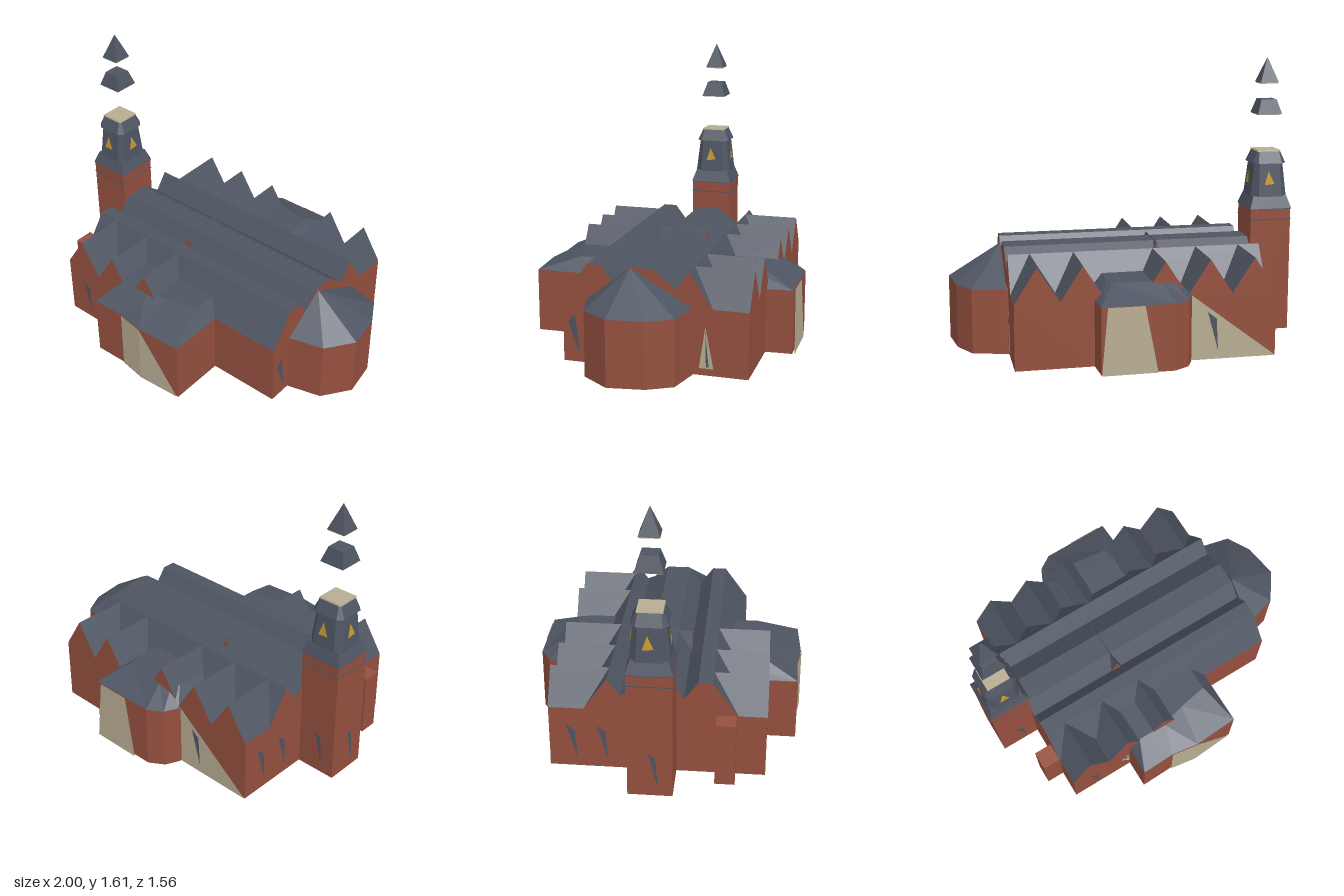
import * as THREE from 'three';

const mat = (name, color) => {
  const m = new THREE.MeshStandardMaterial({ color, flatShading: true, side: THREE.DoubleSide });
  m.name = name;
  return m;
};

export function createModel() {
  const brick = mat('brick', 0x95503f), slate = mat('slate', 0x4e5562);
  const stone = mat('stone', 0xb8ad93), gold = mat('gold', 0xc79a2e);
  const model = new THREE.Group();
  model.name = 'church';
  const church = new THREE.Group();
  church.name = 'churchBody';
  church.rotation.y = 0.07; // the plan is turned slightly off the axes
  model.add(church);

  const add = (name, geo, material, parent = church) => {
    const m = new THREE.Mesh(geo, material);
    m.name = name;
    parent.add(m);
    return m;
  };
  const shape = (pts) => new THREE.Shape(pts.map(([x, y]) => new THREE.Vector2(x, y)));
  const extrude = (pts, depth) => new THREE.ExtrudeGeometry(shape(pts), { depth, bevelEnabled: false });
  const fromTriangles = (pts) => {
    const g = new THREE.BufferGeometry();
    g.setAttribute('position', new THREE.Float32BufferAttribute(pts.flat(), 3));
    g.computeVertexNormals();
    return g;
  };
  // Flat convex panel through 3D points
  const panel = (name, pts, material, parent) => {
    const t = [];
    for (let i = 1; i < pts.length - 1; i++) t.push(pts[0], pts[i], pts[i + 1]);
    return add(name, fromTriangles(t), material, parent);
  };
  // Skin between two plan rings [x, z], with the top closed
  const loft = (name, low, y0, high, y1, material, parent) => {
    const t = [], n = low.length;
    const a = low.map(([x, z]) => [x, y0, z]), b = high.map(([x, z]) => [x, y1, z]);
    for (let i = 0; i < n; i++) {
      const j = (i + 1) % n;
      t.push(a[i], b[i], b[j], a[i], b[j], a[j]);
      if (i > 0 && i < n - 1) t.push(b[0], b[j], b[i]);
    }
    return add(name, fromTriangles(t), material, parent);
  };

  // Brick walls from one footprint, including transepts and apse
  const apse = [[0.703, -0.312], [0.891, -0.268], [0.967, -0.133], [0.998, 0.07], [0.886, 0.227], [0.692, 0.279]];
  const backPorch = [[-0.267, -0.63], [-0.231, -0.708], [-0.147, -0.762], [0.254, -0.764], [0.263, -0.613]];
  const frontPorch = [[0.27, 0.42], [0.27, 0.745], [0, 0.76], [-0.16, 0.735], [-0.36, 0.74]];
  const plan = [[-0.75, -0.613], [-0.267, -0.613], ...backPorch, [0.693, -0.613], [0.693, -0.312],
    ...apse, [0.692, 0.42], ...frontPorch, [-0.36, 0.573], [-0.75, 0.573]];
  const walls = extrude(plan.map(([x, z]) => [x, -z]), 0.368);
  walls.rotateX(-Math.PI / 2);
  add('walls', walls, brick);

  // Three long parallel roofs with brick gable ends
  const profile = [[-0.42, 0.367], [-0.29, 0.56], [-0.215, 0.46], [-0.09, 0.56], [0.05, 0.56],
    [0.125, 0.46], [0.2, 0.56], [0.28, 0.56], [0.42, 0.367]];
  const nave = extrude(profile.map(([z, y]) => [-z, y]), 1.442);
  nave.rotateY(Math.PI / 2);
  nave.translate(-0.75, 0, 0);
  add('naveRoofs', nave, [brick, slate]);

  // Cross gables along both long sides
  const gable = (name, x, w, z0, z1, y0 = 0.367, y1 = 0.56) => {
    const g = extrude([[x - w / 2, y0], [x + w / 2, y0], [x, y1]], z1 - z0);
    g.translate(0, 0, z0);
    add(name, g, [brick, slate]);
  };
  for (const x of [-0.625, -0.375, -0.125]) {
    gable('frontGable', x, 0.25, 0.28, 0.575);
    gable('backGable', x, 0.25, -0.615, -0.29);
  }
  for (const x of [0.325, 0.57]) gable('backGable', x, 0.245, -0.615, -0.29);
  gable('smallCrossGable', -0.18, 0.075, -0.155, 0.13, 0.45, 0.565);

  // Hipped roofs over the transepts
  loft('frontTranseptRoof', [...frontPorch, [-0.36, 0.42]], 0.368,
    [[0.2, 0.3], [0.2, 0.5], [0.03, 0.53], [-0.12, 0.57], [-0.29, 0.57], [-0.3, 0.3]], 0.45, slate);
  loft('backTranseptRoof', [...backPorch, [0.263, -0.4], [-0.267, -0.4]], 0.368,
    [[-0.2, -0.55], [-0.17, -0.59], [-0.1, -0.61], [0.16, -0.58], [0.18, -0.5], [0.18, -0.33], [-0.2, -0.33]], 0.45, slate);

  // Faceted apse roof
  loft('apseRoof', apse, 0.368, apse.map(() => [0.7, 0.033]), 0.56, slate);

  // Small annex beside the west wall
  const annex = new THREE.BoxGeometry(0.11, 0.368, 0.11);
  annex.translate(-0.8, 0.184, 0.355);
  add('annex', annex, brick);

  // Pale wall panels
  panel('frontPanel', [[-0.16, 0.367, 0.739], [0, 0.367, 0.764], [0, 0, 0.766], [-0.16, 0, 0.741]], stone);
  panel('frontPanel', [[0, 0.367, 0.764], [0.262, 0, 0.75], [0, 0, 0.766]], stone);
  panel('backPanel', [[0.02, 0.367, -0.768], [0.22, 0.367, -0.769], [0.254, 0, -0.778], [-0.05, 0, -0.776]], stone);
  panel('backPanel', [[-0.27, 0.367, -0.618], [-0.27, 0, -0.618], [-0.75, 0, -0.618]], stone);

  // Narrow windows
  panel('frontWindow', [[-0.635, 0.27, 0.578], [-0.59, 0.23, 0.578], [-0.58, 0.04, 0.578]], slate);
  panel('frontWindow', [[-0.42, 0.21, 0.577], [-0.375, 0.28, 0.577], [-0.365, 0.1, 0.577]], stone);
  panel('frontWindow', [[-0.41, 0.23, 0.58], [-0.38, 0.27, 0.58], [-0.385, 0.2, 0.58]], slate);
  panel('backWindow', [[-0.36, 0.27, -0.622], [-0.41, 0.23, -0.622], [-0.42, 0.05, -0.622]], slate);
  panel('eastWindow', [[0.698, 0.23, 0.39], [0.698, 0.27, 0.35], [0.698, 0.04, 0.325]], slate);
  panel('eastWindow', [[0.698, 0.04, -0.345], [0.698, 0.27, -0.38], [0.698, 0.04, -0.425]], stone);
  panel('eastWindow', [[0.702, 0.05, -0.385], [0.702, 0.25, -0.38], [0.702, 0.05, -0.4]], slate);
  for (const z of [-0.52, -0.35]) {
    panel('westWindow', [[-0.755, 0.27, z], [-0.755, 0.23, z + 0.05], [-0.755, 0.05, z + 0.06]], slate);
  }

  // Tower
  const tower = new THREE.Group();
  tower.name = 'tower';
  tower.position.set(-0.865, 0, -0.035);
  church.add(tower);
  const block = (name, h0, y0, h1, y1, material) => {
    const g = new THREE.CylinderGeometry(h1 * Math.SQRT2, h0 * Math.SQRT2, y1 - y0, 4, 1, false, Math.PI / 4);
    g.translate(0, (y0 + y1) / 2, 0);
    return add(name, g, material, tower);
  };
  const octagon = (h, c) => [[h, c], [c, h], [-c, h], [-h, c], [-h, -c], [-c, -h], [c, -h], [h, -c]];
  block('towerShaft', 0.121, 0, 0.121, 0.73, brick);
  for (const y of [0.665, 0.728]) block('towerCornice', 0.124, y, 0.124, y + 0.005, slate);
  block('towerSkirt', 0.125, 0.732, 0.1, 0.805, slate);
  loft('belfry', octagon(0.108, 0.07), 0.8, octagon(0.085, 0.06), 1.0, slate, tower);
  loft('belfryCap', octagon(0.1, 0.07), 0.995, octagon(0.07, 0.06), 1.062, slate, tower);
  block('belfryTop', 0.07, 1.062, 0.068, 1.07, stone);
  block('lanternRoof', 0.073, 1.28, 0.046, 1.365, slate);
  block('lanternSoffit', 0.066, 1.276, 0.066, 1.28, stone);
  block('spire', 0.055, 1.462, 0.001, 1.605, slate);
  block('spireSoffit', 0.05, 1.456, 0.05, 1.462, stone);

  // Clock faces and tower windows on each side
  for (let i = 0; i < 4; i++) {
    const side = new THREE.Group();
    side.name = 'towerSide';
    side.rotation.y = i * Math.PI / 2;
    tower.add(side);
    panel('clockFace', [[-0.035, 0.87, 0.106], [0.025, 0.875, 0.106], [-0.01, 0.95, 0.098]], gold, side);
    if (i !== 1) panel('towerWindow', [[-0.01, 0.27, 0.125], [0.03, 0.23, 0.125], [0.045, 0.04, 0.125]], slate, side);
  }
  return model;
}
